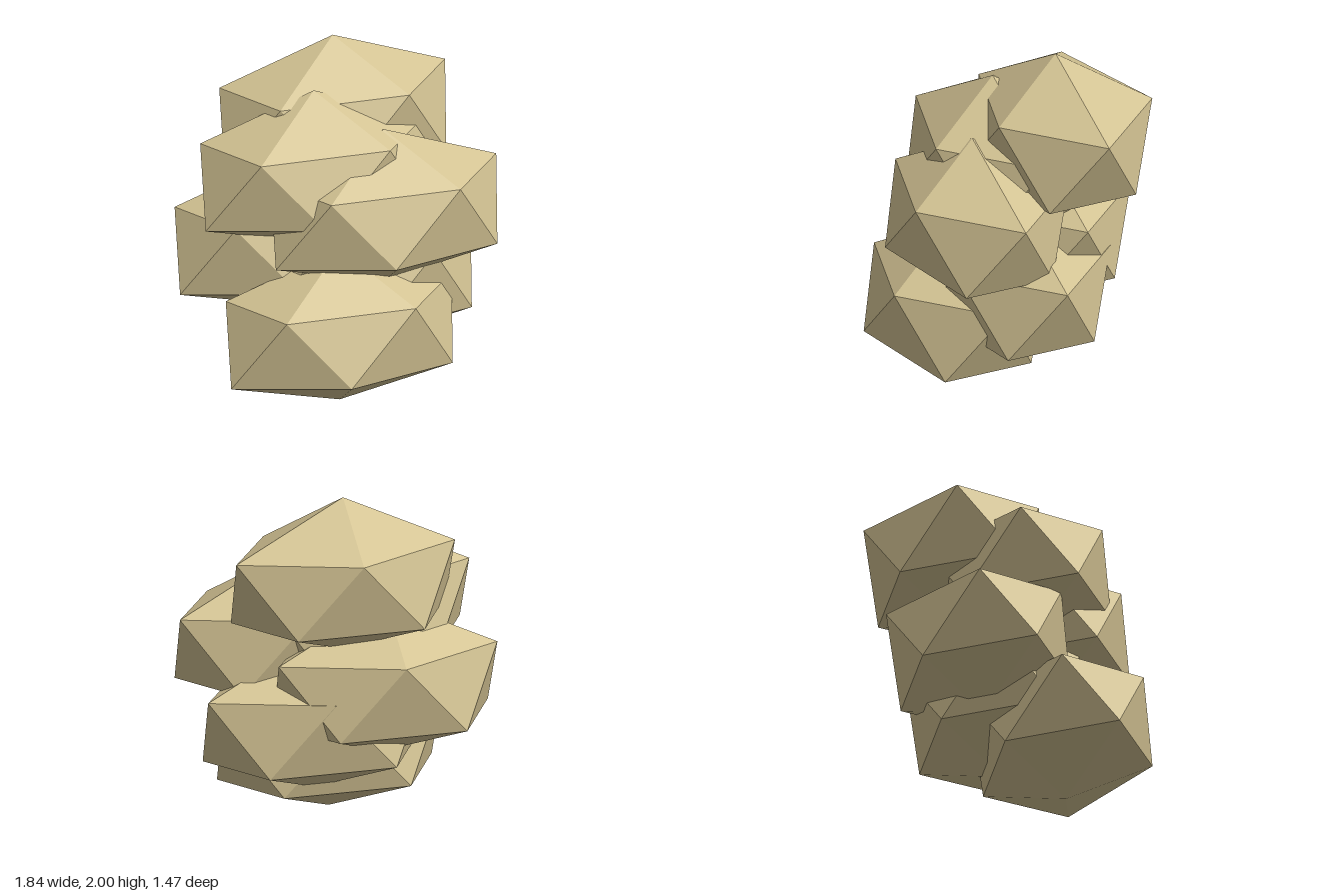
import * as THREE from 'three';

// One faceted boulder: two tips and two staggered rings of five corners
const TOP = [0.14, 2.0, -0.24];
const BOTTOM = [0.14, 1.1, -0.235];
const UPPER = [[0.92, 1.73, -0.24], [0.365, 1.71, 0.21], [-0.395, 1.69, 0.01], [-0.45, 1.71, -0.53], [0.38, 1.73, -0.74]];
const LOWER = [[0.73, 1.29, 0.05], [-0.08, 1.3, 0.21], [-0.61, 1.28, -0.24], [-0.08, 1.28, -0.72], [0.68, 1.29, -0.51]];

function boulderGeometry() {
  const corners = [];
  const face = (...points) => points.forEach((p) => corners.push(...p));
  for (let i = 0; i < 5; i++) {
    const j = (i + 1) % 5;
    face(TOP, UPPER[j], UPPER[i]);
    face(UPPER[i], UPPER[j], LOWER[i]);
    face(LOWER[i], UPPER[j], LOWER[j]);
    face(BOTTOM, LOWER[i], LOWER[j]);
  }
  const geometry = new THREE.BufferGeometry();
  geometry.setAttribute('position', new THREE.Float32BufferAttribute(corners, 3));
  geometry.computeVertexNormals();
  return geometry;
}

export function createModel() {
  const group = new THREE.Group();
  group.name = 'boulderStack';
  const sandstone = new THREE.MeshStandardMaterial({ color: 0xd4c494 });
  sandstone.name = 'sandstone';
  sandstone.flatShading = true;
  const geometry = boulderGeometry();

  // Boulders climb in equal steps, alternating left and right, at three depths
  const depths = [0.52, 0.26, 0];
  for (let i = 0; i < 6; i++) {
    const boulder = new THREE.Mesh(geometry, sandstone);
    boulder.name = `boulder${i + 1}`;
    boulder.position.set(i % 2 ? 0 : -0.31, (i - 5) * 0.22, depths[i % 3]);
    group.add(boulder);
  }
  return group;
}
